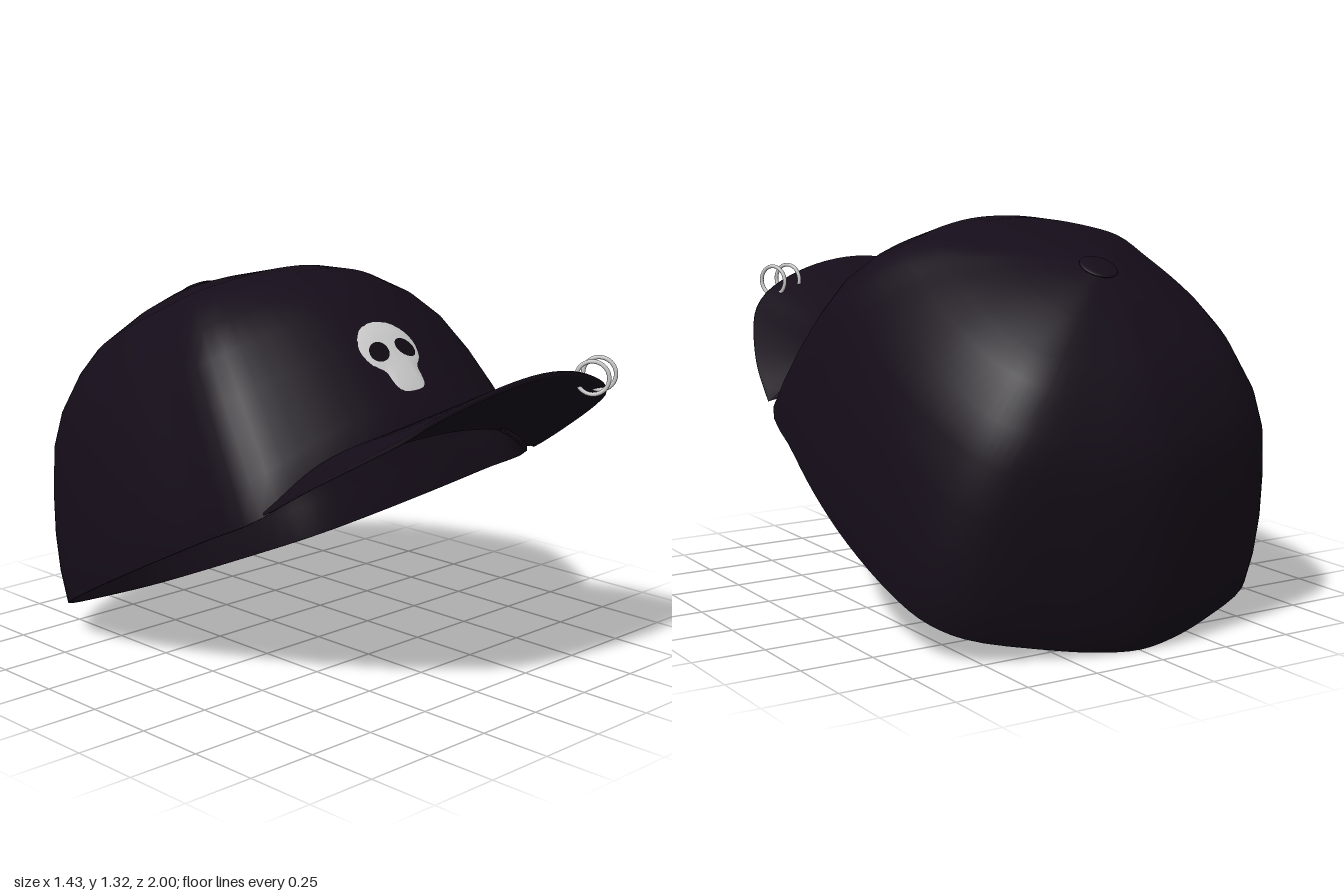
import * as THREE from 'three';

const cloth = new THREE.MeshStandardMaterial({ color: 0x150d19, side: THREE.DoubleSide });
const metal = new THREE.MeshStandardMaterial({ color: 0xcccccc, side: THREE.DoubleSide });
const dark = new THREE.MeshStandardMaterial({ color: 0x100a12, side: THREE.DoubleSide });

const V = (x, y, z) => new THREE.Vector3(x, y, z);
const lerp = THREE.MathUtils.lerp;

// The crown leans back: v rises from the rim plane, u runs forward along it.
const toWorld = (x, v, u) => V(x, 0.33 + 0.45 * u + 0.893 * v, -0.225 + 0.893 * u - 0.45 * v);

// Surface from rows of points; closed wraps the columns.
function grid(rows, cols, point, closed) {
  const pos = [], index = [];
  for (let j = 0; j < rows; j++)
    for (let i = 0; i < cols; i++) pos.push(...point(i, j).toArray());
  for (let j = 0; j < rows - 1; j++)
    for (let i = 0; i < (closed ? cols : cols - 1); i++) {
      const n = (i + 1) % cols;
      const a = j * cols + i, b = j * cols + n, c = a + cols, d = b + cols;
      index.push(a, c, b, b, c, d);
    }
  const g = new THREE.BufferGeometry();
  g.setAttribute('position', new THREE.Float32BufferAttribute(pos, 3));
  g.setIndex(index);
  g.computeVertexNormals();
  return g;
}

function named(name, geometry, material) {
  const m = new THREE.Mesh(geometry, material);
  m.name = name;
  return m;
}

// Mirror half a curve whose last point lies on x = 0.
const mirrored = half => [...half, ...half.slice(0, -1).reverse().map(p => V(-p.x, p.y, p.z))];

// Crown: rim outline (x, v, u) shrunk towards the apex by back, side and front profiles.
function crownGeometry() {
  const half = [
    V(0, 0, -0.733), V(0.15, 0, -0.71), V(0.32, 0, -0.655), V(0.55, 0, -0.55), V(0.64, 0, -0.444),
    V(0.685, 0, -0.29), V(0.712, 0, -0.05), V(0.71, 0, 0.2), V(0.685, 0, 0.45), V(0.642, 0, 0.71),
    V(0.45, 0.065, 0.83), V(0.2, 0.12, 0.91), V(0, 0.13, 0.93),
  ];
  const rim = new THREE.CatmullRomCurve3(mirrored(half).slice(0, -1), true, 'centripetal');
  const height = [0, 0.12, 0.25, 0.4, 0.55, 0.66, 0.77, 0.83, 0.9, 0.94, 0.96];
  const back = [1, 0.985, 0.94, 0.877, 0.805, 0.72, 0.57, 0.46, 0.27, 0.13, 0];
  const side = [1, 0.99, 0.97, 0.928, 0.868, 0.79, 0.67, 0.57, 0.35, 0.17, 0];
  const front = [1, 0.975, 0.94, 0.898, 0.841, 0.772, 0.662, 0.55, 0.3, 0.13, 0];
  const n = height.length, cols = 88;
  const edge = Array.from({ length: cols }, (_, i) => rim.getPoint(i / cols));
  // lining from apex down to the rim, then the outside back up
  return grid(2 * n, cols, (i, j) => {
    const inner = j < n, k = inner ? n - 1 - j : j - n;
    const p = edge[i], c = p.z / Math.hypot(p.x, p.z);
    const f = lerp(side[k], (c > 0 ? front : back)[k], c * c) * (inner ? 0.98 : 1);
    const rise = height[k] * (inner ? 0.98 : 1);
    return toWorld(p.x * f, p.y * (1 - height[k] / 0.96) + rise, p.z * f);
  }, true);
}

// Brim: section swept between the seam and the outer edge, thinner outwards.
function brimGeometry() {
  const seam = new THREE.CatmullRomCurve3(mirrored([
    V(0.645, 0.67, 0.42), V(0.45, 0.8, 0.47), V(0.2, 0.865, 0.515), V(0, 0.88, 0.525),
  ]));
  const edge = new THREE.CatmullRomCurve3(mirrored([
    V(0.652, 0.665, 0.43), V(0.615, 0.78, 0.6), V(0.53, 0.91, 0.8), V(0.48, 0.96, 0.87),
    V(0.4, 1.015, 0.92), V(0.2, 1.085, 0.98), V(0, 1.11, 1.0),
  ]));
  const section = [0, 0.25, 0.5, 0.75, 0.97, 1, 0.97, 0.75, 0.5, 0.25, 0];
  const cols = 49;
  return grid(section.length, cols, (i, j) => {
    const t = i / (cols - 1), s = section[j];
    const p = seam.getPointAt(t).lerp(edge.getPointAt(t), s);
    const thick = 0.055 * Math.sqrt(Math.max(0, Math.sin(Math.PI * t))) * (1 - 0.65 * s);
    if (j < 5) p.y -= thick;
    if (j === 5) p.y -= thick / 2;
    return p;
  }, false);
}

// Padded patch laid on a surface; outline(t) runs clockwise in (x, up the slope).
function patch(target, outline, centre, base, puff) {
  const rings = [1, 0.96, 0.88, 0.75, 0.6, 0.45, 0.3, 0.15, 0], cols = 40;
  const normal = V(0, 0.72, 0.69).normalize(), up = V(0, 0.69, -0.72).normalize();
  const ray = new THREE.Raycaster();
  return grid(rings.length, cols, (i, j) => {
    const r = rings[j], o = outline(i / cols);
    const x = lerp(centre[0], o.x, r), s = lerp(centre[1], o.y, r);
    const p = V(x, 0.965, 0.467).addScaledVector(up, s);
    ray.set(p.clone().addScaledVector(normal, 1), normal.clone().negate());
    const hit = ray.intersectObject(target)[0];
    return (hit ? hit.point : p).addScaledVector(normal, base + puff * (1 - r ** 4));
  }, true);
}

export function createModel() {
  const cap = new THREE.Group();
  cap.name = 'cap';

  const crown = named('crown', crownGeometry(), cloth);
  cap.add(crown, named('brim', brimGeometry(), cloth));

  // Button at the apex, tilted with the crown
  const button = named('topButton', new THREE.SphereGeometry(0.064, 24, 12), cloth);
  button.scale.y = 0.16;
  button.position.copy(toWorld(0, 0.954, 0.02));
  button.rotation.x = -Math.atan2(0.45, 0.893);
  cap.add(button);

  // Skull badge on the front panel
  const half = [[0, 0.304], [0.075, 0.287], [0.122, 0.24], [0.137, 0.19], [0.118, 0.13],
    [0.08, 0.095], [0.072, 0.04], [0.055, 0.01], [0, 0]].map(([x, s]) => V(x, s, 0));
  const left = half.slice(1, -1).reverse().map(p => V(-p.x, p.y, 0));
  const outline = new THREE.CatmullRomCurve3([...half, ...left], true, 'centripetal');
  const skull = named('skullBadge', patch(crown, t => outline.getPoint(t), [0, 0.16], -0.002, 0.008), metal);
  cap.add(skull);

  // Eye sockets, inner ends raised
  for (const side of [-1, 1]) {
    const tilt = -0.45 * side, cx = 0.061 * side, cy = 0.172;
    const eye = t => {
      const a = -2 * Math.PI * t, x = 0.043 * Math.cos(a), y = 0.036 * Math.sin(a);
      return { x: cx + x * Math.cos(tilt) - y * Math.sin(tilt), y: cy + x * Math.sin(tilt) + y * Math.cos(tilt) };
    };
    cap.add(named(side > 0 ? 'leftEye' : 'rightEye', patch(skull, eye, [cx, cy], 0.003, 0), dark));
  }

  // Two rings pierced through the brim edge
  for (const [x, z] of [[0.325, 0.93], [0.4, 0.9]]) {
    const ring = named('brimRing', new THREE.TorusGeometry(0.054, 0.007, 10, 36), metal);
    ring.position.set(x, 1.035, z);
    ring.rotation.y = -1.1;
    cap.add(ring);
  }
  return cap;
}
